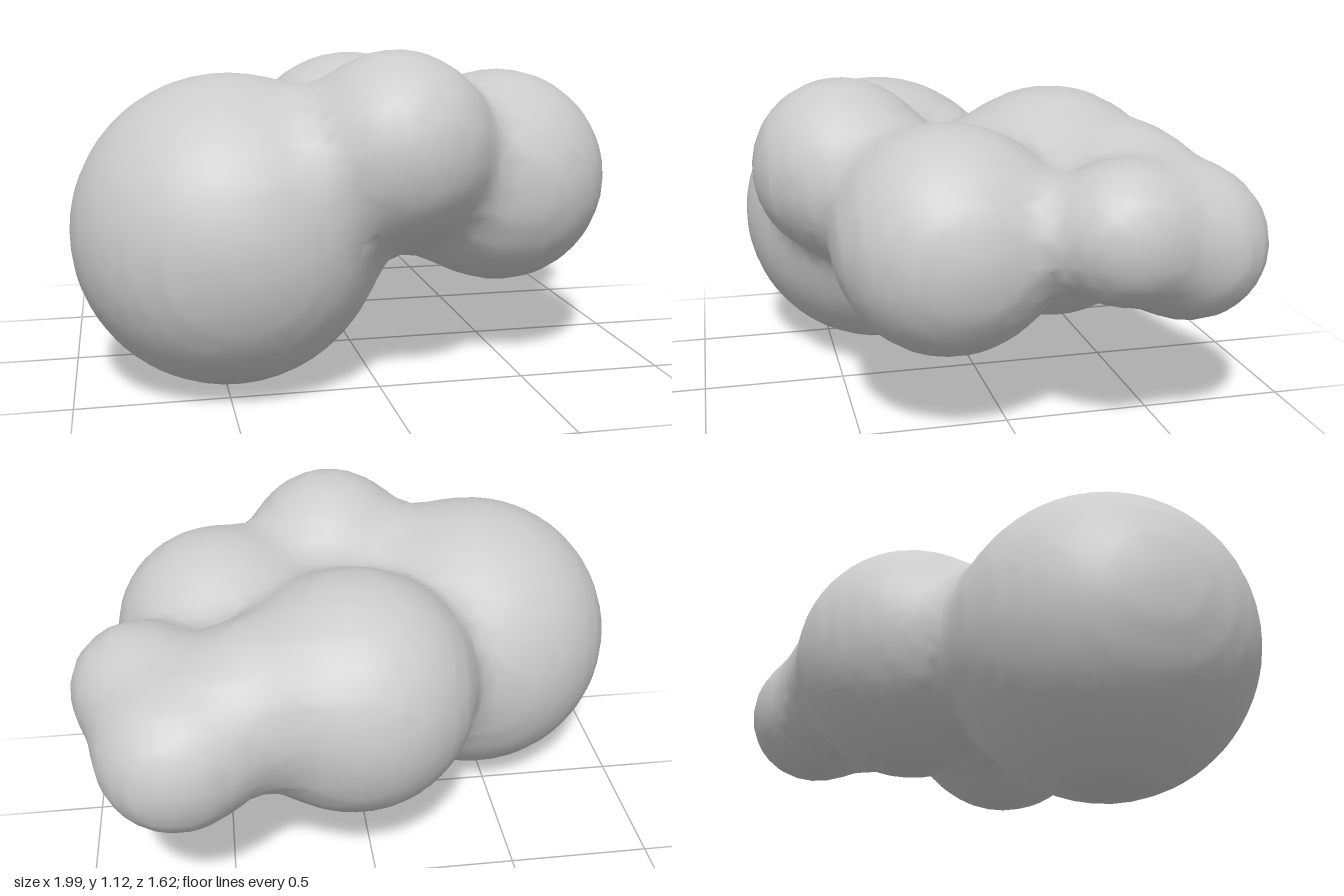
import * as THREE from 'three';

// Lobes of the cluster: centre x, y, z and radius
const lobes = [
  [-0.475, 0.525, 0.285, 0.52],  // large lobe, low on the right
  [0.055, 0.82, 0.485, 0.307],   // front top lobe
  [0.495, 0.66, 0.2, 0.375],     // left lobe
  [0.05, 0.65, -0.27, 0.42],     // rear middle lobe
  [0.4, 0.74, -0.43, 0.25],      // rear bridge lobe
  [0.66, 0.65, -0.56, 0.25],     // rear tip lobe
  [0.775, 0.73, -0.285, 0.218],  // left tip lobe
  [0.08, 0.64, 0.16, 0.22],      // core between the lobes
];
const BLEND = 0.06;

// Signed distance to the softly merged lobes
function field(x, y, z) {
  let sum = 0;
  for (const [cx, cy, cz, r] of lobes) {
    sum += Math.exp((r - Math.hypot(x - cx, y - cy, z - cz)) / BLEND);
  }
  return -BLEND * Math.log(sum);
}

// Slide a point along the field's gradient until it lies on the skin
function settle(p) {
  const e = 0.001;
  for (let i = 0; i < 4; i++) {
    const f = field(p.x, p.y, p.z);
    const g = new THREE.Vector3(
      field(p.x + e, p.y, p.z) - field(p.x - e, p.y, p.z),
      field(p.x, p.y + e, p.z) - field(p.x, p.y - e, p.z),
      field(p.x, p.y, p.z + e) - field(p.x, p.y, p.z - e),
    ).divideScalar(2 * e);
    p.addScaledVector(g, -f / Math.max(g.lengthSq(), 0.2));
  }
  return p;
}

// Skin over the field: one vertex per crossed cell, one quad per crossed edge
function skinGeometry(min, size, step) {
  const n = size.map((s) => Math.ceil(s / step) + 1);
  const stride = [1, n[0], n[0] * n[1]];
  const at = (i, j, k) => i + j * stride[1] + k * stride[2];
  const values = new Float32Array(n[0] * n[1] * n[2]);
  const eachPoint = (from, fn) => {
    for (let k = from; k < n[2] - 1; k++)
      for (let j = from; j < n[1] - 1; j++)
        for (let i = from; i < n[0] - 1; i++) fn(i, j, k, at(i, j, k));
  };

  values.fill(1);
  eachPoint(0, (i, j, k, id) => {
    values[id] = field(min[0] + i * step, min[1] + j * step, min[2] + k * step);
  });

  // Vertices
  const positions = [];
  const vertexOf = new Map();
  eachPoint(0, (i, j, k, id) => {
    const p = new THREE.Vector3();
    let count = 0;
    for (let axis = 0; axis < 3; axis++) {
      const u = (axis + 1) % 3, v = (axis + 2) % 3;
      for (let c = 0; c < 4; c++) {
        const o = [0, 0, 0];
        o[u] = c & 1;
        o[v] = c >> 1;
        const a = at(i + o[0], j + o[1], k + o[2]);
        const f0 = values[a], f1 = values[a + stride[axis]];
        if ((f0 < 0) === (f1 < 0)) continue;
        o[axis] = f0 / (f0 - f1);
        p.add(new THREE.Vector3(i + o[0], j + o[1], k + o[2]));
        count++;
      }
    }
    if (!count) return;
    p.multiplyScalar(step / count).add(new THREE.Vector3(...min));
    settle(p);
    vertexOf.set(id, positions.length / 3);
    positions.push(p.x, p.y, p.z);
  });

  // Faces, turned outward
  const index = [];
  eachPoint(1, (i, j, k, id) => {
    for (let axis = 0; axis < 3; axis++) {
      const inside = values[id] < 0;
      if (inside === values[id + stride[axis]] < 0) continue;
      const u = stride[(axis + 1) % 3], v = stride[(axis + 2) % 3];
      const q = [id - u - v, id - v, id, id - u].map((c) => vertexOf.get(c));
      if (!inside) q.reverse();
      index.push(q[0], q[1], q[2], q[0], q[2], q[3]);
    }
  });

  const geometry = new THREE.BufferGeometry();
  geometry.setAttribute('position', new THREE.Float32BufferAttribute(positions, 3));
  geometry.setIndex(index);
  geometry.computeVertexNormals();
  return geometry;
}

export function createModel() {
  const group = new THREE.Group();
  group.name = 'lobedBlob';
  const body = new THREE.Mesh(
    skinGeometry([-1.15, -0.15, -1], [2.35, 1.5, 2], 0.06),
    new THREE.MeshStandardMaterial({ color: 0xcccccc }),
  );
  body.name = 'mergedLobes';
  group.add(body);
  return group;
}
